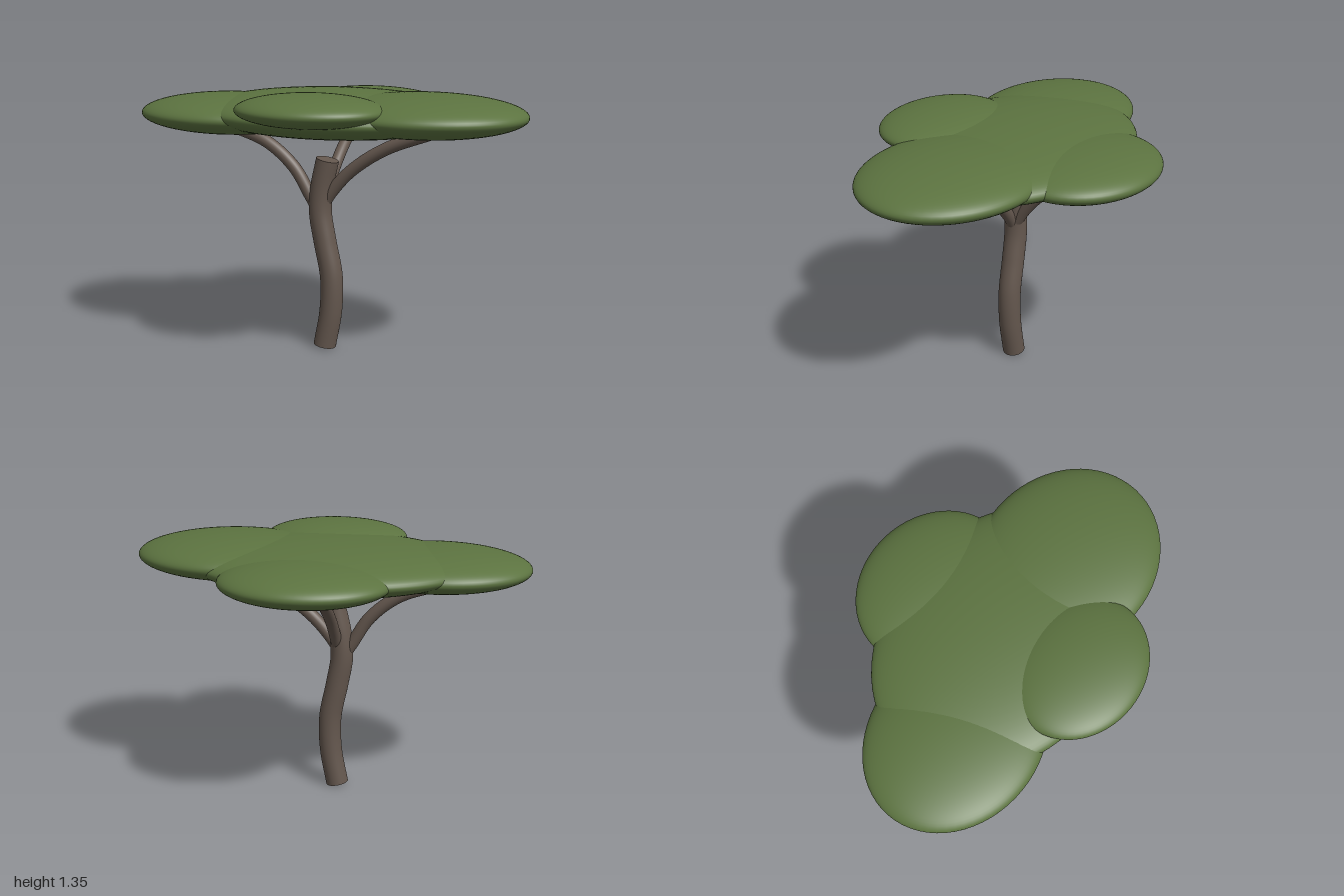
import * as THREE from 'three';

const bark = new THREE.MeshStandardMaterial({ color: 0x64574e });
bark.name = 'bark';
const foliage = new THREE.MeshStandardMaterial({ color: 0x5c7340 });
foliage.name = 'foliage';

// Round limb swept along points, closed by a disc at each end
function limb(name, points, radius, sides = 24) {
  const curve = new THREE.CatmullRomCurve3(points.map(p => new THREE.Vector3(...p)));
  const group = new THREE.Group();
  group.name = name;
  const tube = new THREE.Mesh(new THREE.TubeGeometry(curve, 40, radius, sides), bark);
  tube.name = name + 'Tube';
  group.add(tube);
  for (const t of [0, 1]) {
    const cap = new THREE.Mesh(new THREE.CircleGeometry(radius, sides), bark);
    const outward = curve.getTangentAt(t).multiplyScalar(t ? 1 : -1);
    cap.quaternion.setFromUnitVectors(new THREE.Vector3(0, 0, 1), outward);
    cap.position.copy(curve.getPointAt(t));
    cap.name = name + 'End';
    group.add(cap);
  }
  return group;
}

// Flattened ball of leaves
function leafPad(name, center, radii) {
  const pad = new THREE.Mesh(new THREE.SphereGeometry(1, 64, 40), foliage);
  pad.name = name;
  pad.position.set(...center);
  pad.scale.set(...radii);
  return pad;
}

export function createModel() {
  const tree = new THREE.Group();
  tree.name = 'tree';
  const z = 0.073;

  // Swaying trunk
  tree.add(limb('trunk', [
    [-0.032, 0.012, z], [0.002, 0.2, z], [0.005, 0.38, z], [-0.03, 0.56, z],
    [-0.055, 0.71, z], [-0.048, 0.83, z], [-0.015, 0.982, z],
  ], 0.058, 32));

  // Three arching branches
  tree.add(limb('rightBranch', [
    [-0.06, 0.71, z], [-0.11, 0.79, z], [-0.2, 0.93, z], [-0.35, 1.05, z], [-0.58, 1.13, z],
  ], 0.032));
  tree.add(limb('leftBranch', [
    [-0.05, 0.73, z], [0.0, 0.81, z], [0.11, 0.93, z], [0.29, 1.05, z], [0.55, 1.15, z],
  ], 0.032));
  tree.add(limb('backBranch', [
    [-0.035, 0.77, 0.06], [-0.032, 0.86, 0], [-0.03, 0.95, -0.08],
    [-0.03, 1.05, -0.21], [-0.03, 1.135, -0.37],
  ], 0.03));

  // Flat, spreading canopy
  tree.add(leafPad('middleCanopy', [0, 1.215, 0.03], [0.72, 0.115, 0.55]));
  tree.add(leafPad('rightCanopy', [-0.52, 1.2, 0.125], [0.48, 0.1, 0.397]));
  tree.add(leafPad('leftCanopy', [0.49, 1.23, 0.07], [0.51, 0.105, 0.427]));
  tree.add(leafPad('backCanopy', [0.03, 1.21, -0.37], [0.42, 0.095, 0.36]));
  tree.add(leafPad('frontCanopy', [0.05, 1.27, 0.425], [0.37, 0.08, 0.303]));
  return tree;
}
